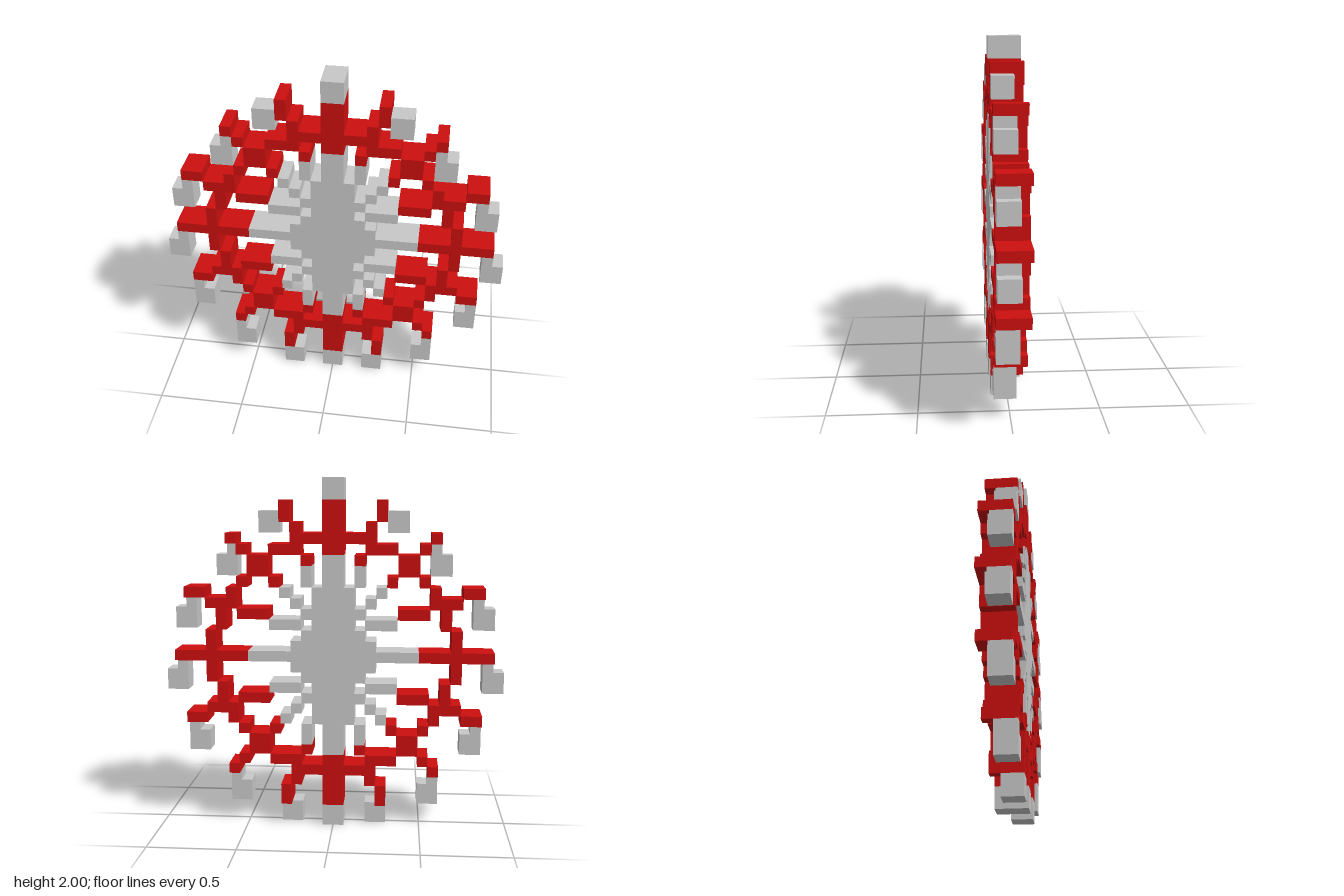
import * as THREE from 'three';

const U = 2 / 33; // size of one cube cell

const steelGrey = new THREE.MeshStandardMaterial({ color: 0xc8c8c8 });
const brightRed = new THREE.MeshStandardMaterial({ color: 0xcc0f0f });
steelGrey.name = 'steelGrey';
brightRed.name = 'brightRed';

// Block spanning cells x0..x1, y0..y1 and z0..z1
function block(parent, name, material, [x0, x1, y0, y1], z0 = -1.5, z1 = 1.5) {
  const mesh = new THREE.Mesh(
    new THREE.BoxGeometry((x1 - x0) * U, (y1 - y0) * U, (z1 - z0) * U), material);
  mesh.position.set((x0 + x1) / 2 * U, (y0 + y1) / 2 * U, (z0 + z1) / 2 * U);
  mesh.name = name;
  parent.add(mesh);
}

const mirrorX = ([x0, x1, y0, y1]) => [-x1, -x0, y0, y1];
const mirrorY = ([x0, x1, y0, y1]) => [x0, x1, 33 - y1, 33 - y0];

function mirroredX(parent, name, material, r, z0, z1) {
  block(parent, name, material, r, z0, z1);
  block(parent, name, material, mirrorX(r), z0, z1);
}

function mirroredXY(parent, name, material, r) {
  mirroredX(parent, name, material, r);
  mirroredX(parent, name, material, mirrorY(r));
}

export function createModel() {
  const model = new THREE.Group();
  model.name = 'ferrisWheel';
  const group = (name) => {
    const g = new THREE.Group();
    g.name = name;
    model.add(g);
    return g;
  };

  // Hub
  const hub = group('hub');
  block(hub, 'hubCore', steelGrey, [-2, 2, 10, 23]);
  mirroredX(hub, 'hubSide', steelGrey, [2, 3, 14, 19]);
  mirroredX(hub, 'hubSide', steelGrey, [3, 4, 15, 18]);

  // Spokes: straight ones, then the stepped ones of one quarter
  const spokes = group('spokes');
  for (const flip of [(r) => r, mirrorY]) {
    block(spokes, 'verticalSpoke', steelGrey, flip([-1, 1, 23, 26]));
    block(spokes, 'verticalSpokeEnd', brightRed, flip([-1, 1, 26, 31]));
    block(spokes, 'verticalCabin', steelGrey, flip([-1, 1, 31, 33]));
  }
  mirroredX(spokes, 'horizontalSpoke', steelGrey, [4, 8, 16, 17]);
  mirroredX(spokes, 'horizontalSpokeEnd', brightRed, [8, 15, 16, 17]);
  const greySteps = [
    [2, 3, 23, 25],                             // steep
    [2, 3, 20, 21], [3, 4, 21, 22], [4, 5, 22, 23], // diagonal
    [3, 6, 19, 20],                             // shallow
  ];
  const redSteps = [
    [2, 3, 25, 26], [4, 5, 29, 31],             // steep
    [5, 6, 23, 24], [8, 9, 26, 27], [9, 10, 27, 28], // diagonal
    [6, 9, 20, 21], [12, 14, 22, 23],           // shallow
  ];
  greySteps.forEach((r) => mirroredXY(spokes, 'spokeStep', steelGrey, r));
  redSteps.forEach((r) => mirroredXY(spokes, 'spokeEndStep', brightRed, r));

  // Rim, one quarter mirrored
  const rim = group('rim');
  [
    [1, 4, 27, 28], [3, 4, 28, 29], [3, 6, 26, 27], [6, 8, 24, 26],
    [8, 9, 23, 24], [9, 10, 22, 23], [9, 12, 21, 22], [10, 11, 19, 21],
    [11, 12, 17, 19],
  ].forEach((r) => mirroredXY(rim, 'rimStep', brightRed, r));

  // Cabins, 2 x 2 cells, some hung from a one-cell hanger: [x, y, hangerX]
  const cabins = group('cabins');
  [
    [5, 28], [9, 24, 9], [13, 19, 13], [14, 13, 14], [12, 7, 13], [8, 2, 9], [3, 0],
  ].forEach(([x, y, hx]) => {
    mirroredX(cabins, 'cabin', steelGrey, [x, x + 2, y, y + 2], -0.5, 1.5);
    if (hx !== undefined) {
      mirroredX(cabins, 'cabinHanger', steelGrey, [hx, hx + 1, y + 2, y + 3], -0.5, 1.5);
    }
  });

  return model;
}
